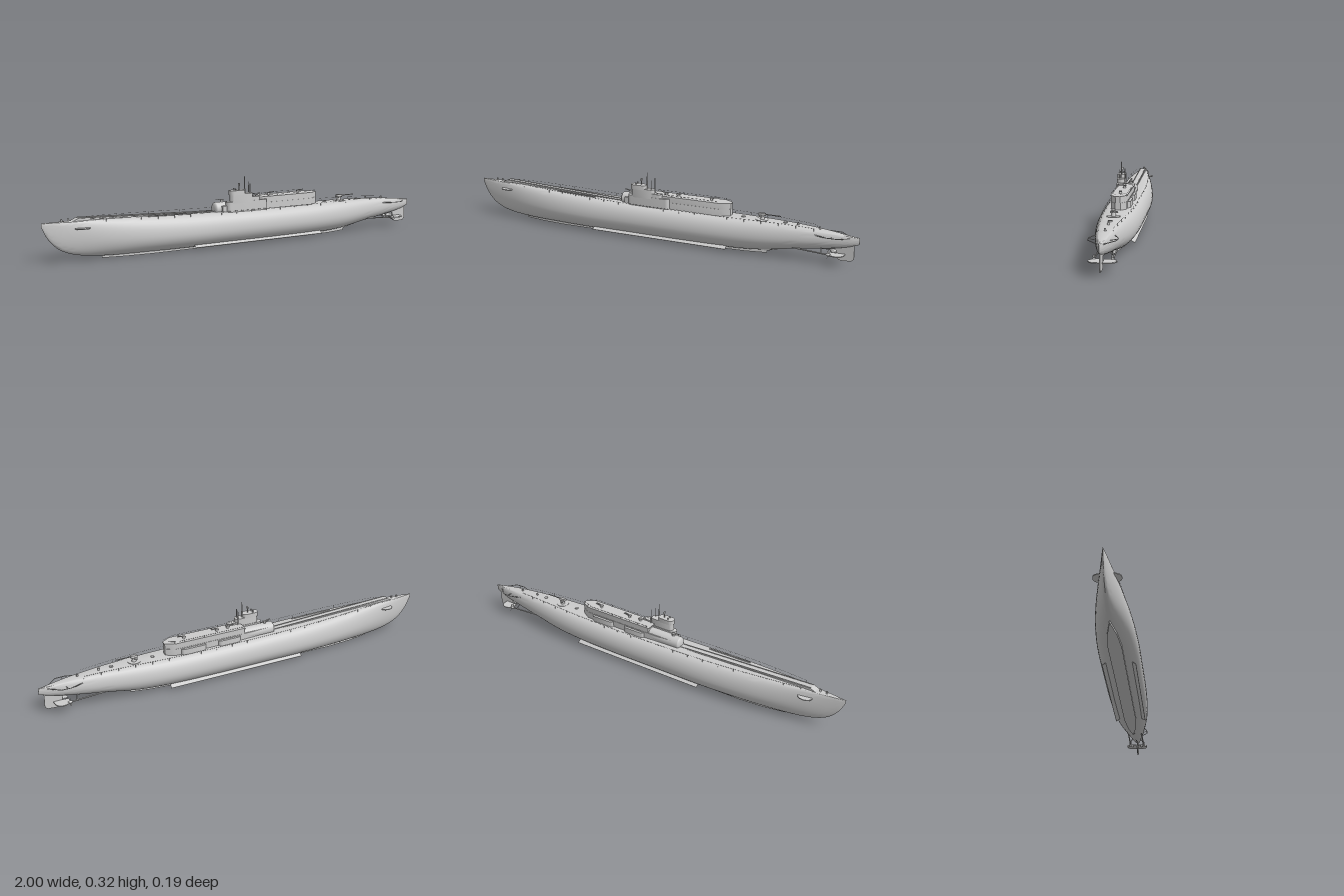
import * as THREE from 'three';
import { toCreasedNormals } from 'three/addons/utils/BufferGeometryUtils.js';

const grey = new THREE.MeshStandardMaterial({ color: 0xcccccc });
const thin = new THREE.MeshStandardMaterial({ color: 0xcccccc, side: THREE.DoubleSide });

// Hull stations: x, then deck height, keel height, half beam, deck half width, height of widest point
const stations = [
  [-1, 0.18, 0.165, 0.001, 0.001, 0.172], [-0.98, 0.18, 0.12, 0.006, 0.004, 0.15],
  [-0.94, 0.18, 0.07, 0.014, 0.010, 0.135], [-0.89, 0.18, 0.04, 0.024, 0.016, 0.125],
  [-0.82, 0.18, 0.021, 0.038, 0.023, 0.115], [-0.7, 0.178, 0.01, 0.060, 0.031, 0.10],
  [-0.55, 0.173, 0.007, 0.080, 0.039, 0.09], [-0.35, 0.166, 0.005, 0.093, 0.045, 0.085],
  [-0.1, 0.16, 0.005, 0.0955, 0.048, 0.085], [0.2, 0.158, 0.005, 0.0955, 0.047, 0.085],
  [0.4, 0.157, 0.007, 0.089, 0.043, 0.086], [0.55, 0.157, 0.016, 0.077, 0.037, 0.09],
  [0.7, 0.154, 0.041, 0.058, 0.029, 0.098], [0.85, 0.145, 0.063, 0.035, 0.019, 0.106],
  [0.95, 0.135, 0.083, 0.015, 0.009, 0.11], [1, 0.13, 0.1, 0.002, 0.001, 0.115],
];
const spline = new THREE.CubicInterpolant(stations.map(s => s[0]), stations.flatMap(s => s.slice(1)), 5);
const at = x => {
  const [top, bottom, beam, deck, wide] = spline.evaluate(x);
  return { top, bottom, beam, deck, wide };
};

function hullGeometry() {
  const half = s => {
    const p = [[0, s.top + 0.002], [s.deck, s.top]];
    for (let i = 1; i <= 8; i++) {
      const a = Math.PI / 2 * (1 - i / 8);
      p.push([s.deck + (s.beam - s.deck) * Math.cos(a), s.wide + (s.top - s.wide) * Math.sin(a)]);
    }
    for (let i = 1; i <= 10; i++) {
      const a = Math.PI / 2 * i / 10;
      p.push([s.beam * Math.cos(a), s.wide - (s.wide - s.bottom) * Math.sin(a)]);
    }
    return p;
  };
  const xs = [];
  stations.forEach((s, i) => {
    const next = stations[i + 1];
    if (!next) return xs.push(s[0]);
    for (let k = 0; k < 4; k++) xs.push(s[0] + (next[0] - s[0]) * k / 4);
  });
  const rows = xs.map(x => {
    const p = half(at(x));
    return [...p, ...p.slice(0, -1).reverse().map(([z, y]) => [-z, y])].map(([z, y]) => [x, y, z]);
  });
  // collapsed end rows close the stem and stern
  const n = rows[0].length;
  rows.unshift(Array(n).fill([-1, 0.172, 0]));
  rows.push(Array(n).fill([1, 0.115, 0]));
  const index = [];
  for (let i = 0; i < rows.length - 1; i++) for (let j = 0; j < n - 1; j++) {
    const a = i * n + j, c = a + n;
    index.push(a, a + 1, c, a + 1, c + 1, c);
  }
  const g = new THREE.BufferGeometry();
  g.setAttribute('position', new THREE.Float32BufferAttribute(rows.flat(2), 3));
  g.setIndex(index);
  return toCreasedNormals(g, 0.5);
}

export function createModel() {
  const root = new THREE.Group();
  const add = (name, geo, x = 0, y = 0, z = 0, mat = grey) => {
    const m = new THREE.Mesh(geo, mat);
    m.name = name;
    m.position.set(x, y, z);
    root.add(m);
    return m;
  };
  const box = (name, x, y, z, w, h, d) => add(name, new THREE.BoxGeometry(w, h, d), x, y, z);
  const post = (name, x, y, z, h, r, r2 = r, sides = 12) =>
    add(name, new THREE.CylinderGeometry(r2, r, h, sides), x, y + h / 2, z);
  const rod = (name, pts, r) => {
    const path = new THREE.CurvePath();
    const v = pts.map(p => new THREE.Vector3(...p));
    for (let i = 1; i < v.length; i++) path.add(new THREE.LineCurve3(v[i - 1], v[i]));
    return add(name, new THREE.TubeGeometry(path, Math.max(2, v.length * 2), r, 5));
  };
  // outline in x,z raised from y0 to y1
  const slab = (name, pts, y0, y1) => {
    const shape = new THREE.Shape(pts.map(([x, z]) => new THREE.Vector2(x, -z)));
    const g = new THREE.ExtrudeGeometry(shape, { depth: y1 - y0, bevelEnabled: false });
    g.rotateX(-Math.PI / 2);
    return add(name, toCreasedNormals(g, 0.6), 0, y0, 0);
  };
  // capsule-like outline
  const pill = (x0, x1, z, r) => {
    const p = [];
    for (let i = 0; i <= 10; i++) p.push([x1 - r + r * Math.sin(Math.PI * i / 10), z + r * Math.cos(Math.PI * i / 10)]);
    for (let i = 0; i <= 10; i++) p.push([x0 + r - r * Math.sin(Math.PI * i / 10), z - r * Math.cos(Math.PI * i / 10)]);
    return p;
  };
  // outline in x,y with thickness across z
  const plate = (name, pts, z, t) => {
    const g = new THREE.ExtrudeGeometry(new THREE.Shape(pts.map(p => new THREE.Vector2(...p))), { depth: t, bevelEnabled: false });
    return add(name, g, 0, 0, z - t / 2);
  };

  add('hull', hullGeometry());
  slab('keel', [[-0.73, 0], [-0.62, 0.02], [-0.5, 0.03], [0.35, 0.03], [0.48, 0.02], [0.58, 0],
    [0.48, -0.02], [0.35, -0.03], [-0.5, -0.03], [-0.62, -0.02]], 0, 0.014);
  plate('skeg', [[0.5, 0.003], [0.57, 0.008], [0.66, 0.034], [0.9, 0.068], [0.9, 0.08], [0.5, 0.03]], 0, 0.006);

  // Sloping launch deck and its rails
  plate('launchDeck', [[-0.87, 0.178], [-0.2, 0.155], [-0.17, 0.162], [-0.84, 0.192]], 0, 0.036);
  for (const z of [-0.014, 0.014]) rod('launchRail', [[-0.84, 0.193, z], [-0.17, 0.164, z]], 0.0018);
  rod('stowedCrane', [[-0.52, 0.176, 0.034], [-0.3, 0.17, 0.038]], 0.003);

  // Hangar, its door and the superstructure around it
  const hangar = add('hangar', new THREE.CylinderGeometry(0.031, 0.031, 0.22, 28), -0.05, 0.174, -0.004);
  hangar.rotation.z = Math.PI / 2;
  const door = add('hangarDoor', new THREE.SphereGeometry(0.031, 24, 8, 0, Math.PI * 2, 0, Math.PI / 2), -0.16, 0.174, -0.004);
  door.rotation.z = Math.PI / 2;
  door.scale.y = 0.4;
  slab('superstructure', [[-0.14, 0.037], [0.36, 0.036], [0.4, 0.012], [0.4, -0.012], [0.36, -0.036],
    [0.04, -0.037], [-0.14, -0.03]], 0.15, 0.19);
  slab('gunDeckHouse', [[0, 0.035], [0.36, 0.035], [0.4, 0.01], [0.4, -0.01], [0.36, -0.035], [0, -0.035]], 0.18, 0.216);
  slab('gunDeck', [[-0.005, 0.037], [0.36, 0.037], [0.403, 0.011], [0.403, -0.011], [0.36, -0.037], [-0.005, -0.037]], 0.215, 0.219);
  for (const [x0, x1] of [[0.02, 0.14], [0.2, 0.33]]) slab('sponson', pill(x0, x1, -0.028, 0.02), 0.155, 0.185);

  // Conning tower, offset to one side
  slab('towerBase', pill(-0.12, 0.1, 0.031, 0.019), 0.15, 0.208);
  slab('tower', pill(-0.1, 0.02, 0.033, 0.0185), 0.2, 0.245);
  slab('bridgeBulwark', pill(-0.104, -0.02, 0.033, 0.02), 0.24, 0.262);
  slab('bridgeStep', pill(-0.03, 0.06, 0.033, 0.016), 0.205, 0.226);
  post('periscope', -0.02, 0.24, 0.032, 0.085, 0.004, 0.0015);
  post('rearPeriscope', 0.012, 0.22, 0.011, 0.075, 0.0025, 0.002);
  post('radarMast', -0.05, 0.255, 0.032, 0.038, 0.0022);
  box('radarArray', -0.05, 0.288, 0.032, 0.004, 0.012, 0.012);
  post('signalMast', 0.005, 0.24, 0.04, 0.05, 0.0015);
  for (const z of [0.024, 0.042]) post('lookoutGlass', -0.075, 0.258, z, 0.014, 0.003);

  // Anti-aircraft mounts
  const mount = (x, y, z, dir) => {
    post('antiAircraftMount', x, y, z, 0.008, 0.007, 0.005);
    box('antiAircraftBreech', x, y + 0.009, z, 0.014, 0.006, 0.012);
    for (const o of [-0.004, 0, 0.004])
      rod('antiAircraftBarrel', [[x, y + 0.009, z + o], [x + dir * 0.032, y + 0.015, z + o]], 0.0011);
  };
  mount(-0.125, 0.205, -0.004, -1);
  mount(0.13, 0.219, 0, 1);
  mount(0.3, 0.219, 0, 1);
  mount(0.07, 0.219, 0.005, -1);

  // Deck gun on its round platform
  post('gunPlatform', 0.55, 0.154, 0, 0.006, 0.03, 0.03, 28);
  post('gunPedestal', 0.55, 0.16, 0, 0.018, 0.011, 0.007);
  box('gunBreech', 0.55, 0.183, 0, 0.032, 0.012, 0.014);
  rod('gunBarrel', [[0.56, 0.184, 0], [0.638, 0.184, 0]], 0.0026);
  for (const z of [-0.012, 0.012]) box('gunSeat', 0.545, 0.176, z, 0.014, 0.008, 0.006);

  // Hatches, bollards and capstans
  for (const x of [-0.91, -0.88, 0.72, 0.82]) post('capstan', x, at(x).top, 0, 0.013, 0.005, 0.004);
  for (const x of [0.46, 0.66]) post('hatch', x, at(x).top, 0, 0.006, 0.009);

  // Diving planes: half-ellipse fins, mirrored
  const fin = (name, x, y, reach, chord, root0) => {
    for (const s of [1, -1]) {
      const pts = [];
      for (let i = 0; i <= 12; i++) {
        const a = Math.PI * i / 12;
        pts.push([x + chord / 2 * Math.cos(a), s * (root0 + (reach - root0) * Math.sin(a) ** 0.6)]);
      }
      slab(name, s > 0 ? pts.reverse() : pts, y - 0.002, y + 0.002);
    }
  };
  fin('bowPlane', -0.825, 0.15, 0.06, 0.07, 0.015);
  fin('sternPlane', 0.905, 0.047, 0.056, 0.07, 0.004);

  // Rudder
  const r = new THREE.Shape();
  r.moveTo(0.895, 0.085);
  r.lineTo(0.9, 0.03);
  r.quadraticCurveTo(0.905, 0.017, 0.93, 0.016);
  r.lineTo(0.965, 0.018);
  r.quadraticCurveTo(0.982, 0.022, 0.98, 0.045);
  r.lineTo(0.978, 0.095);
  add('rudder', new THREE.ExtrudeGeometry(r, { depth: 0.005, bevelEnabled: false }), 0, 0, -0.0025);

  for (const s of [1, -1]) {
    // Propeller, shaft and strut
    rod('propellerShaft', [[0.66, 0.06, s * 0.036], [0.87, 0.047, s * 0.037]], 0.0035);
    rod('shaftStrut', [[0.84, 0.049, s * 0.037], [0.83, 0.085, s * 0.012]], 0.0025);
    const hub = add('propellerHub', new THREE.SphereGeometry(0.007, 12, 8), 0.872, 0.047, s * 0.037);
    hub.scale.x = 1.6;
    for (let i = 0; i < 3; i++) {
      const blade = add('propellerBlade', new THREE.CircleGeometry(0.009, 12).translate(0, 0.011, 0), 0.872, 0.047, s * 0.037, thin);
      blade.rotation.set(i * Math.PI * 2 / 3, Math.PI / 2 - 0.5, 0, 'XYZ');
      blade.scale.x = 0.7;
    }
    // Stern guard rails
    rod('sternGuard', [[0.8, 0.13, s * 0.035], [0.86, 0.13, s * 0.058], [0.91, 0.13, s * 0.056], [0.96, 0.125, s * 0.01]], 0.002);
    rod('guardBrace', [[0.88, 0.13, s * 0.058], [0.88, 0.122, s * 0.015]], 0.0015);
    // Bilge keel
    const bilge = box('bilgeKeel', 0.05, 0.019, s * 0.067, 0.7, 0.002, 0.022);
    bilge.rotation.x = s * 0.55;
    // Deck guard wires and stanchions
    const wire = [];
    for (let x = -0.8; x < 0.81; x += 0.08) {
      const d = at(x), z = s * (d.deck + (d.beam - d.deck) * 0.35);
      rod('stanchion', [[x, d.top - 0.008, z], [x, d.top + 0.009, z * 1.04]], 0.0007);
      wire.push([x, d.top + 0.009, z * 1.04]);
    }
    rod('guardWire', wire, 0.0005);
    // Gun deck railing
    for (let x = 0.01; x < 0.37; x += 0.05) post('deckRailPost', x, 0.218, s * 0.035, 0.009, 0.0006, 0.0006, 5);
    rod('deckRail', [[0, 0.227, s * 0.035], [0.36, 0.227, s * 0.035], [0.4, 0.227, s * 0.01]], 0.0006);
  }
  return root;
}
